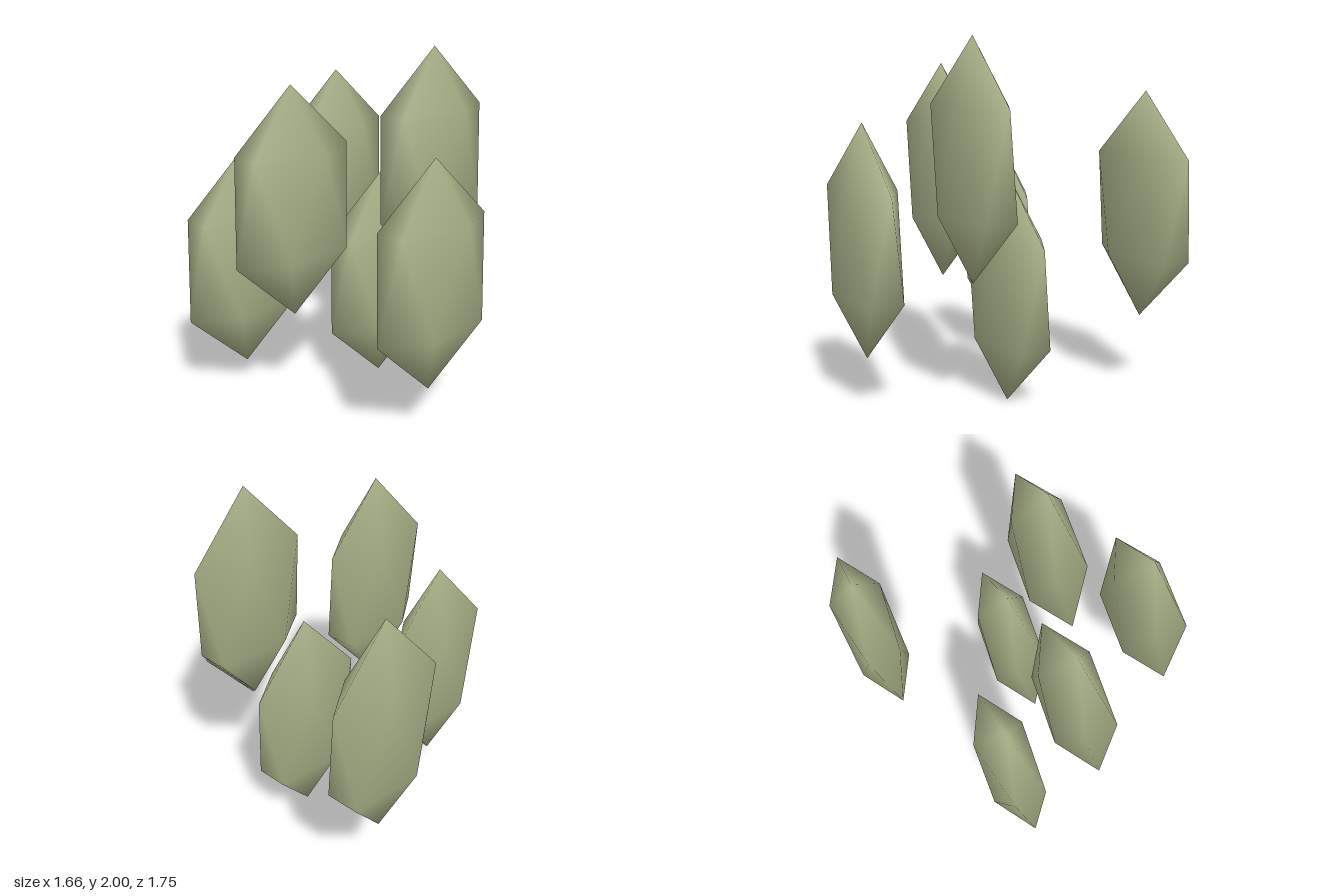
import * as THREE from 'three';

// Smooth-shaded twenty-sided leaf: two poles and two opposed five-sided rings
function leafGeometry(rx, ry, rz) {
  const ringY = 1 / Math.sqrt(5), ringR = 2 / Math.sqrt(5);
  const pos = [0, ry, 0];
  for (const s of [1, -1]) {
    for (let i = 0; i < 5; i++) {
      const a = ((i + (s < 0 ? 0.5 : 0)) * Math.PI * 2) / 5;
      pos.push(rx * ringR * Math.cos(a), s * ry * ringY, -rz * ringR * Math.sin(a));
    }
  }
  pos.push(0, -ry, 0);

  const index = [];
  for (let i = 0; i < 5; i++) {
    const j = (i + 1) % 5;
    const t0 = 1 + i, t1 = 1 + j, b0 = 6 + i, b1 = 6 + j;
    index.push(0, t0, t1); // upper cap
    index.push(t0, b0, t1, t1, b0, b1); // zigzag band
    index.push(11, b1, b0); // lower cap
  }
  const g = new THREE.BufferGeometry();
  g.setAttribute('position', new THREE.Float32BufferAttribute(pos, 3));
  g.setIndex(index);
  g.computeVertexNormals();
  return g;
}

export function createModel() {
  const group = new THREE.Group();
  group.name = 'leafCluster';
  const material = new THREE.MeshStandardMaterial({ color: 0xa4ad84 });
  const geometry = leafGeometry(0.398, 0.634, 0.171);

  // Centres of the six identical leaves
  const leaves = {
    frontLeaf: [-0.027, 0.925, 0.728],
    upperRightLeaf: [-0.411, 1.221, 0.061],
    upperLeftLeaf: [0.355, 1.366, 0.288],
    backLeftLeaf: [0.476, 1.076, -0.732],
    backRightLeaf: [-0.477, 0.783, -0.354],
    lowerLeaf: [0.238, 0.636, 0.003],
  };
  for (const [name, centre] of Object.entries(leaves)) {
    const leaf = new THREE.Mesh(geometry, material);
    leaf.name = name;
    leaf.position.set(...centre);
    group.add(leaf);
  }
  return group;
}
